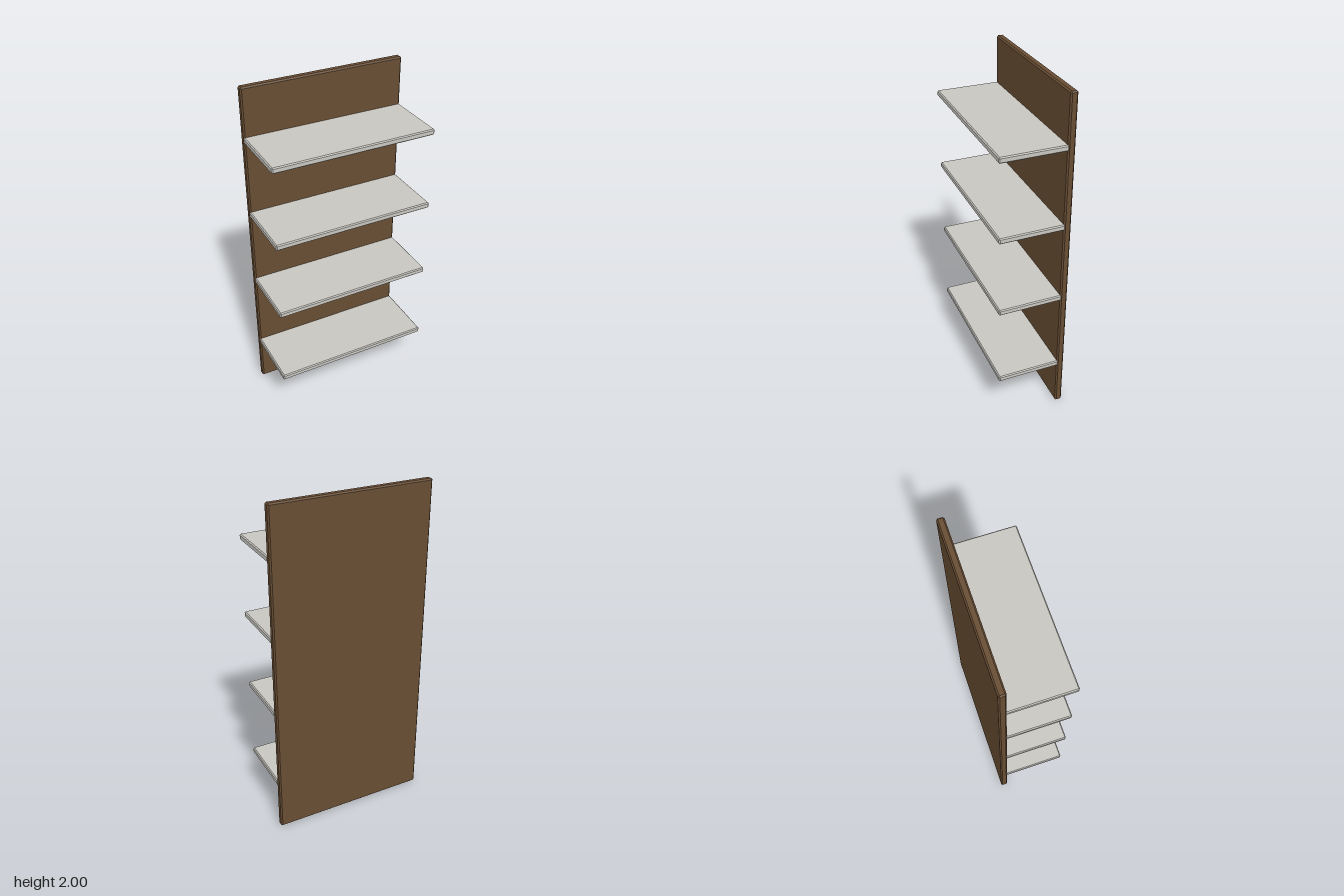
import * as THREE from 'three';
import { ConvexGeometry } from 'three/addons/geometries/ConvexGeometry.js';

// Box whose edges and corners are cut by a flat chamfer
function chamferedBox(w, h, d, c) {
  const points = [];
  for (const x of [-1, 1]) for (const y of [-1, 1]) for (const z of [-1, 1]) {
    const [a, b, e] = [w / 2, h / 2, d / 2];
    points.push(
      new THREE.Vector3(x * a, y * (b - c), z * (e - c)),
      new THREE.Vector3(x * (a - c), y * b, z * (e - c)),
      new THREE.Vector3(x * (a - c), y * (b - c), z * e)
    );
  }
  return new ConvexGeometry(points);
}

export function createModel() {
  const model = new THREE.Group();
  model.name = 'wallShelf';

  const wood = new THREE.MeshStandardMaterial({ color: 0x684d33 });
  wood.name = 'brown wood';
  const paint = new THREE.MeshStandardMaterial({ color: 0xc8c6c0 });
  paint.name = 'pale grey';

  // Upright back panel
  const panel = new THREE.Mesh(chamferedBox(0.946, 2, 0.042, 0.008), wood);
  panel.name = 'backPanel';
  panel.position.set(0, 1, -0.184);
  model.add(panel);

  // Four shelves set slightly into the panel
  const shelfGeometry = chamferedBox(0.946, 0.034, 0.375, 0.006);
  [0.303, 0.784, 1.245, 1.705].forEach((y, i) => {
    const shelf = new THREE.Mesh(shelfGeometry, paint);
    shelf.name = `shelf${i + 1}`;
    shelf.position.set(0, y, 0.0175);
    model.add(shelf);
  });

  return model;
}
